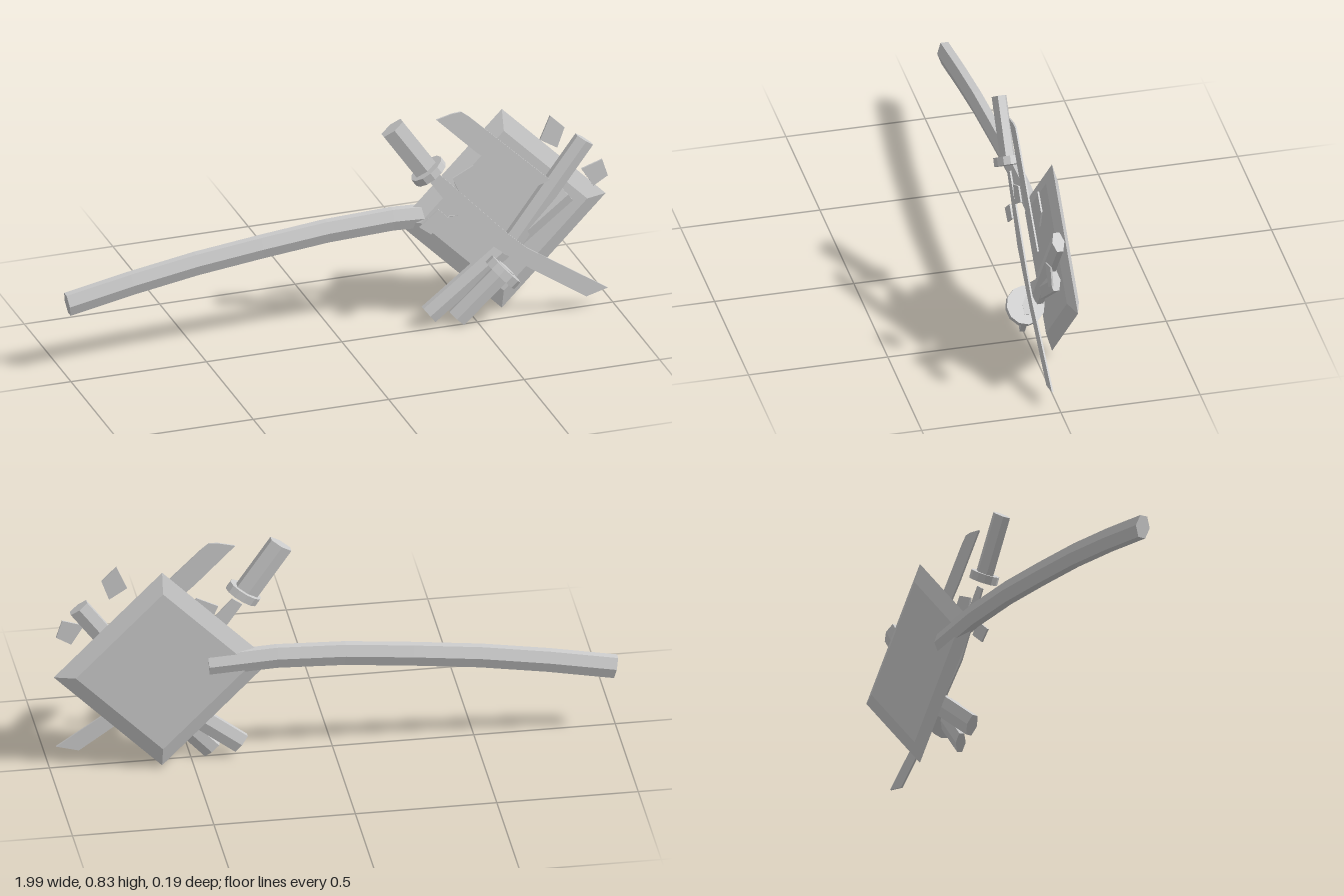
import * as THREE from 'three';

const mat = new THREE.MeshStandardMaterial({ color: 0xcccccc, flatShading: true, side: THREE.DoubleSide });

export function createModel() {
  const root = new THREE.Group();
  const add = (name, geo, parent = root) => {
    const m = new THREE.Mesh(geo, mat);
    m.name = name;
    parent.add(m);
    return m;
  };

  // straight prism between two points, with width and depth set apart
  const rod = (name, a, b, width, depth, sides = 6) => {
    const p = new THREE.Vector3(...a), q = new THREE.Vector3(...b);
    const r = sides === 6 ? width / 1.732 : width / 2;
    const m = add(name, new THREE.CylinderGeometry(r, r, p.distanceTo(q), sides));
    m.scale.z = depth / 2 / r;
    m.position.copy(p).lerp(q, 0.5);
    m.quaternion.setFromUnitVectors(new THREE.Vector3(0, 1, 0), q.sub(p).normalize());
    return m;
  };

  // thin plate cut from an outline
  const sheet = (name, pts, z = 0.02) => {
    const shape = new THREE.Shape(pts.map(p => new THREE.Vector2(...p)));
    const m = add(name, new THREE.ExtrudeGeometry(shape, { depth: 0.006, bevelEnabled: false }));
    m.position.z = z;
  };

  // square panel with bevelled rim, standing on a corner
  const profile = [[0, -0.0215], [0.308, -0.0215], [0.383, 0], [0.308, 0.0215], [0, 0.0215]];
  const panel = add('squarePanel', new THREE.LatheGeometry(profile.map(p => new THREE.Vector2(...p)), 4));
  panel.rotation.x = Math.PI / 2;
  panel.position.set(0.612, 0.394, -0.0625);

  // long curved handle, flattened hexagon section with capped ends
  const handle = new THREE.Group();
  handle.name = 'curvedHandle';
  handle.position.z = -0.068;
  handle.scale.z = 0.6;
  root.add(handle);
  const path = new THREE.CatmullRomCurve3([
    [-0.99, 0.267], [-0.61, 0.338], [-0.29, 0.378], [0, 0.406], [0.3, 0.413], [0.45, 0.402],
  ].map(([x, y]) => new THREE.Vector3(x, y, 0)));
  add('handleShaft', new THREE.TubeGeometry(path, 6, 0.046, 6), handle);
  for (const t of [0, 1]) {
    const d = path.getTangentAt(t), p = path.getPointAt(t);
    const cap = new THREE.CircleGeometry(0.046, 6);
    cap.rotateY(t ? Math.PI / 2 : -Math.PI / 2).rotateZ(Math.atan2(d.y, d.x));
    add('handleCap', cap.translate(p.x, p.y, 0), handle);
  }

  // curved sword: grip, guard and blade
  rod('swordGrip', [0.178, 0.808, 0.022], [0.315, 0.61, 0.022], 0.085, 0.053);
  rod('swordGuard', [0.302, 0.635, 0.026], [0.319, 0.61, 0.026], 0.13, 0.094, 12);
  sheet('swordBlade', [[0.35, 0.605], [0.6, 0.34], [0.675, 0.27], [0.973, 0.072],
    [0.893, 0.05], [0.64, 0.222], [0.465, 0.366], [0.315, 0.58]]);

  // broken sword: grip, guard and loose blade end
  rod('brokenSwordGrip', [0.6, 0.205, 0.022], [0.425, 0.026, -0.004], 0.07, 0.036);
  rod('brokenSwordGuard', [0.597, 0.204, 0.028], [0.573, 0.182, 0.028], 0.14, 0.136, 12);
  sheet('brokenBlade', [[0.34, 0.815], [0.4, 0.83], [0.432, 0.832], [0.46, 0.81],
    [0.76, 0.52], [0.69, 0.495], [0.485, 0.67]]);

  // crossed sheaths lying on the panel
  rod('upperSheath', [0.9, 0.638, -0.015], [0.604, 0.245, -0.015], 0.072, 0.044);
  rod('lowerSheath', [0.834, 0.44, -0.019], [0.325, 0.05, -0.015], 0.073, 0.04);

  // scattered blade shards
  [
    [[0.76, 0.767], [0.813, 0.714], [0.786, 0.64], [0.722, 0.68]],
    [[0.875, 0.545], [0.952, 0.57], [0.973, 0.505], [0.92, 0.473]],
    [[0.4, 0.58], [0.476, 0.618], [0.513, 0.575], [0.428, 0.516]],
    [[0.278, 0.41], [0.348, 0.468], [0.385, 0.43], [0.32, 0.377]],
  ].forEach((pts, i) => sheet('bladeShard' + (i + 1), pts));

  return root;
}
